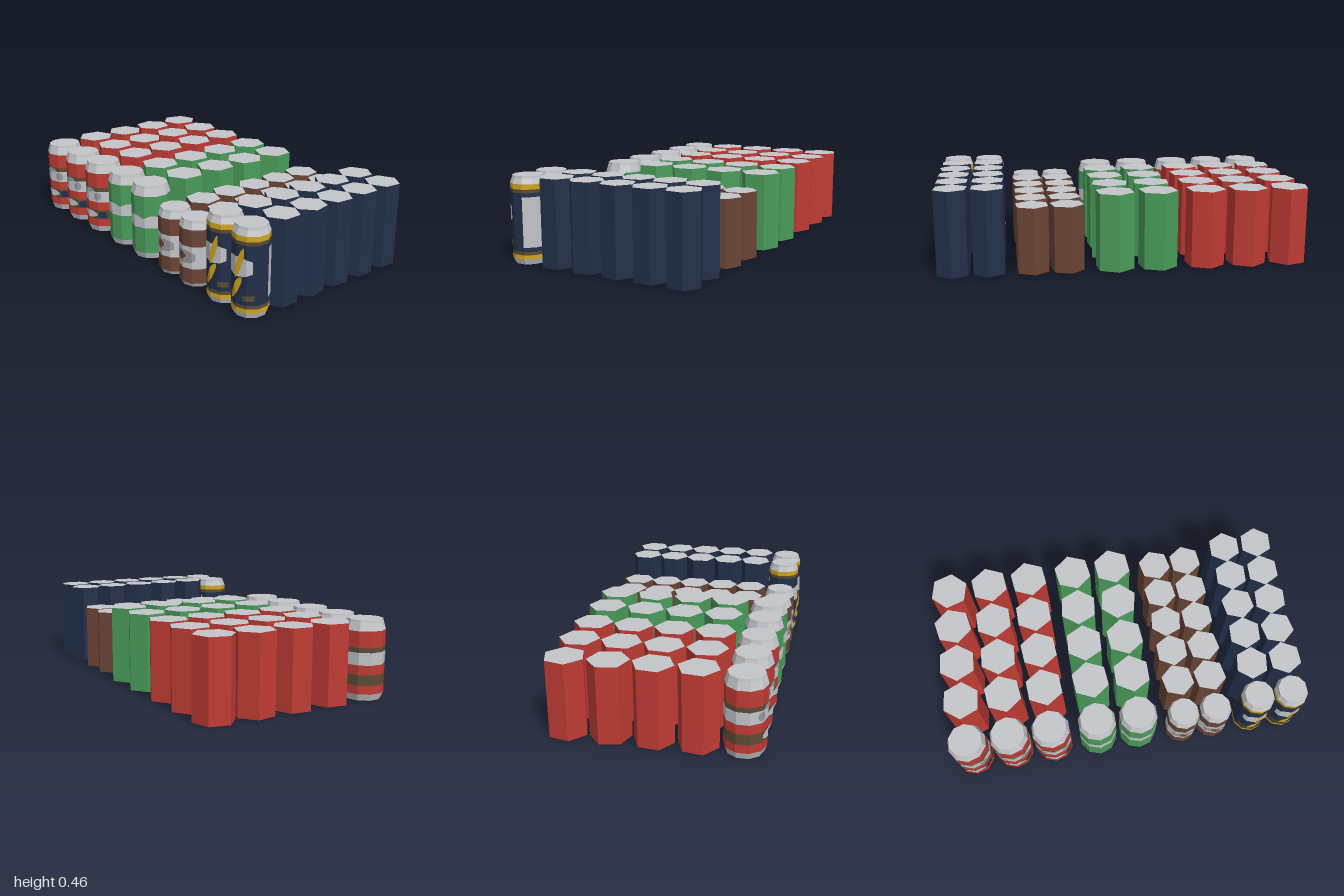
import * as THREE from 'three';

const paint = (name, color) => {
  const m = new THREE.MeshStandardMaterial({ color, flatShading: true, side: THREE.DoubleSide });
  m.name = name;
  return m;
};
const silver = paint('silver', 0xc3c5c9);
const grey = paint('grey', 0x96989b);
const red = paint('red', 0xbf3b34);
const green = paint('green', 0x4a9c5a);
const brown = paint('brown', 0x6b4536);
const navy = paint('navy', 0x22304a);
const gold = paint('gold', 0xd2a620);
const olive = paint('olive', 0x5a4c34);

const SIDES = 10;
const rad = THREE.MathUtils.degToRad;

function add(parent, name, geometry, material) {
  const mesh = new THREE.Mesh(geometry, material);
  mesh.name = name;
  parent.add(mesh);
}

// Distance from the axis to the faceted wall at an angle in degrees
function wallRadius(deg, r) {
  const step = 360 / SIDES;
  const local = ((deg % step) + step) % step - step / 2;
  return r * Math.cos(rad(step / 2)) / Math.cos(rad(local));
}

// Painted patch hugging the wall, centred on an angle and height.
// round narrows its ends, slant raises one end, lift layers it over others.
function patch(can, name, material, angle, width, y, height, { round = 0, slant = 0, lift = 0.002 } = {}) {
  const columns = width / 3;
  const g = new THREE.PlaneGeometry(2, 1, columns, 1);
  const pos = g.attributes.position;
  for (let i = 0; i < pos.count; i++) {
    const u = pos.getX(i);
    const a = angle + u * width / 2;
    const d = wallRadius(a, can.userData.r) + lift;
    const py = y + u * slant / 2 + pos.getY(i) * height * (1 - round * u * u);
    pos.setXYZ(i, Math.sin(rad(a)) * d, py, Math.cos(rad(a)) * d);
  }
  g.computeVertexNormals();
  add(can, name, g, material);
}

// Can body: coloured bands, tapered shoulder, lid and base
function makeCan({ name, body, r, h, foot, bands, decorate }) {
  const can = new THREE.Group();
  can.name = name + 'Can';
  can.userData.r = r;
  const ring = (part, y0, y1, r0, r1, mat) => {
    const g = new THREE.CylinderGeometry(r1, r0, y1 - y0, SIDES, 1, true);
    add(can, part, g.translate(0, (y0 + y1) / 2, 0), mat);
  };
  const disc = (part, y, radius, mat, turn) => {
    const g = new THREE.CircleGeometry(radius, SIDES, Math.PI / 2);
    add(can, part, g.rotateX(turn).translate(0, y, 0), mat);
  };
  ring('foot', 0, foot, r * 0.88, r, silver);
  let y = foot;
  for (const [top, mat] of bands) {
    ring('labelBand', y, top, r, r, mat);
    y = top;
  }
  ring('shoulder', y, h - 0.012, r, r * 0.88, silver);
  ring('rim', h - 0.012, h, r * 0.88, r * 0.86, silver);
  disc('lid', h, r * 0.86, silver, -Math.PI / 2);
  disc('base', 0.004, r * 0.88, body, Math.PI / 2);
  decorate(can);
  return can;
}

// Hexagonal can with a silver lid, used in the rows behind
function makeStockCan({ name, body, hexR, h }, angle) {
  const g = new THREE.CylinderGeometry(hexR, hexR, h, 6).translate(0, h / 2, 0);
  const mesh = new THREE.Mesh(g, [body, silver, body]);
  mesh.name = name + 'StockCan';
  mesh.rotation.y = angle;
  return mesh;
}

function decorateRed(can) {
  patch(can, 'emblem', silver, 0, 66, 0.108, 0.045, { round: 0.7 });
  for (const side of [-1, 1]) patch(can, 'labelMark', grey, side * 36, 24, 0.22, 0.05, { round: 0.6 });
  patch(can, 'crest', grey, 0, 48, 0.258, 0.03, { round: 0.8 });
  patch(can, 'darkMark', navy, 51, 24, 0.105, 0.04);
}

function decorateGreen(can) {
  // Wavy upper edge of the label band
  for (let a = 0; a < 360; a += 60) patch(can, 'wave', silver, a, 48, 0.235, 0.03, { round: 0.8 });
  patch(can, 'backMark', gold, 198, 18, 0.135, 0.09);
}

function decorateBrown(can) {
  patch(can, 'labelPanel', grey, 0, 96, 0.163, 0.07, { round: 0.5 });
  patch(can, 'bean', brown, -3, 30, 0.168, 0.045, { round: 0.8, lift: 0.004 });
}

function decorateNavy(can) {
  patch(can, 'labelPanel', silver, 0, 108, 0.26, 0.1, { round: 0.4 });
  patch(can, 'boltTop', gold, 12, 30, 0.28, 0.09, { round: 0.5, slant: 0.11, lift: 0.004 });
  patch(can, 'boltBottom', gold, 0, 42, 0.15, 0.07, { round: 0.7, slant: 0.1, lift: 0.004 });
  for (const side of [-1, 1]) patch(can, 'bottomMark', olive, side * 42, 36, 0.105, 0.03);
  patch(can, 'backPanel', silver, 147, 78, 0.22, 0.26);
  patch(can, 'backStripe', gold, 192, 6, 0.22, 0.26);
}

// Each brand size: radii, height, and label bands as [top, colour]
const big = { r: 0.107, hexR: 0.107, h: 0.415, foot: 0.035, frontZ: 0.443, backZ: -0.45, pitch: 0.222, rows: 4 };
const small = { hexR: 0.093, frontZ: 0.464, backZ: -0.445, pitch: 0.181, rows: 5 };

const redBands = [[0.08, red], [0.135, olive], [0.185, red], [0.25, silver], [0.275, olive], [0.36, red]];
const greenBands = [[0.18, green], [0.235, silver], [0.36, green]];
const brownBands = [[0.1, brown], [0.22, silver], [0.31, brown]];
const navyBands = [[0.05, gold], [0.068, olive], [0.37, navy], [0.388, olive], [0.415, gold]];

const kinds = [
  { ...big, name: 'red', body: red, xs: [-0.893, -0.662, -0.432], bands: redBands, decorate: decorateRed },
  { ...big, name: 'green', body: green, xs: [-0.174, 0.058], bands: greenBands, decorate: decorateGreen },
  { ...small, name: 'brown', body: brown, r: 0.09, h: 0.355, foot: 0.02, xs: [0.312, 0.495], bands: brownBands, decorate: decorateBrown },
  { ...small, name: 'navy', body: navy, r: 0.092, h: 0.455, foot: 0.028, xs: [0.721, 0.908], bands: navyBands, decorate: decorateNavy },
];

export function createModel() {
  const model = new THREE.Group();
  model.name = 'canDisplay';
  let seed = 7;
  const random = () => (seed = (seed * 16807) % 2147483647) / 2147483647;

  for (const kind of kinds) {
    for (const x of kind.xs) {
      const column = new THREE.Group();
      column.name = kind.name + 'Column';
      column.position.x = x;
      const front = makeCan(kind);
      front.position.z = kind.frontZ;
      column.add(front);
      // Stock cans are each turned a little
      for (let row = 0; row < kind.rows; row++) {
        const stock = makeStockCan(kind, (random() - 0.5) * 0.45);
        stock.position.z = kind.backZ + row * kind.pitch;
        column.add(stock);
      }
      model.add(column);
    }
  }
  return model;
}
